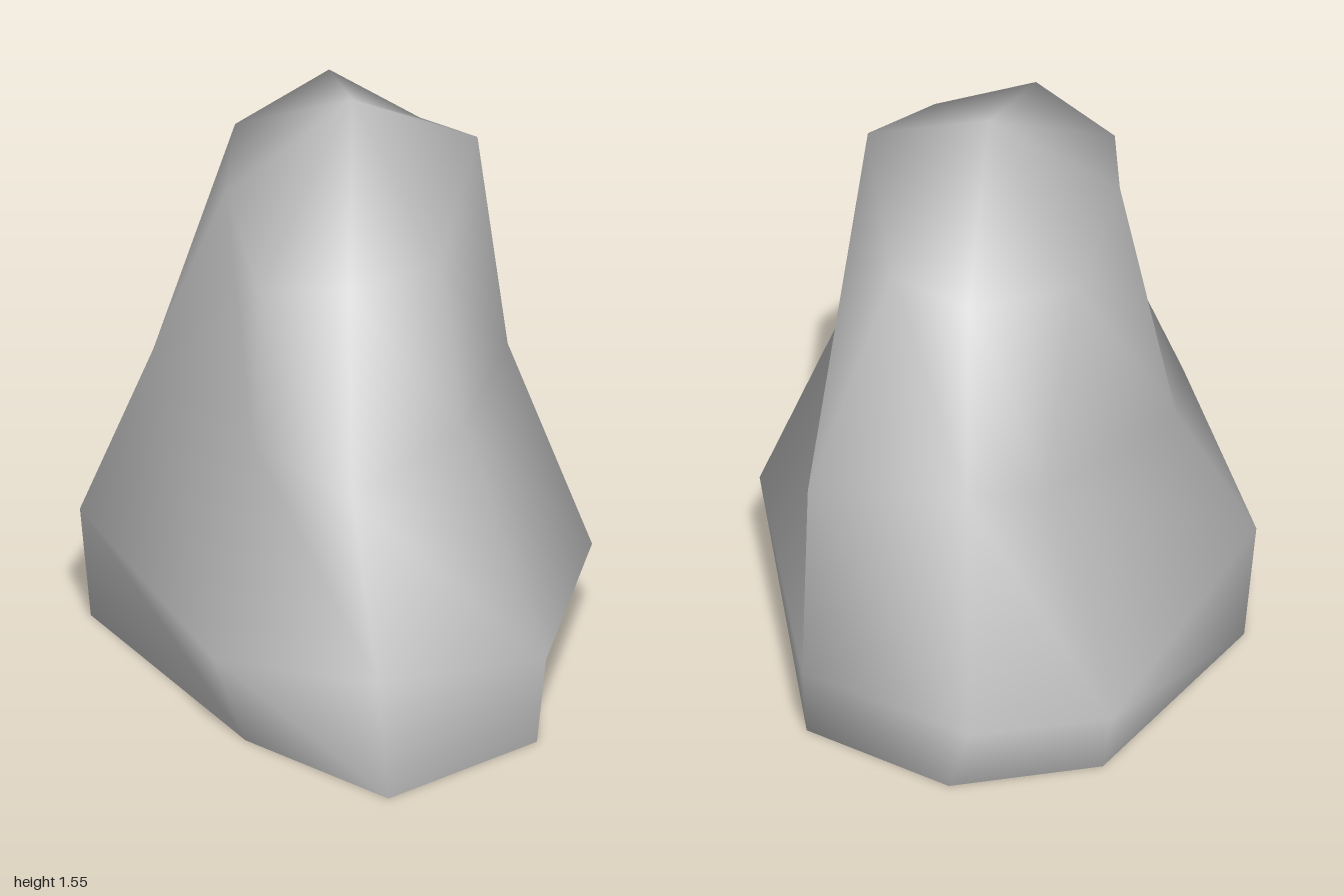
import * as THREE from 'three';

// Cross-sections from the ground up; each runs back, right side, front, left side.
const SECTIONS = [
  // open ground edge
  [[0.02, 0, -0.9], [0.43, 0, -0.7], [0.55, 0, -0.04], [0.49, 0, 0.69],
    [0.08, 0, 0.99], [-0.28, 0, 0.64], [-0.65, 0, -0.09], [-0.37, 0, -0.75]],
  // widest bulge
  [[-0.05, 0.24, -1], [0.43, 0.24, -0.78], [0.67, 0.26, 0.07], [0.51, 0.28, 0.76],
    [0.05, 0.35, 1], [-0.37, 0.28, 0.7], [-0.68, 0.33, -0.07], [-0.4, 0.19, -0.8]],
  // waist
  [[0, 0.8, -0.71], [0.43, 0.76, -0.68], [0.45, 0.83, 0], [0.31, 0.82, 0.45],
    [0, 0.75, 0.71], [-0.25, 0.79, 0.47], [-0.48, 0.75, -0.17], [-0.2, 0.75, -0.58]],
  // shoulder
  [[0.01, 1.34, -0.61], [0.24, 1.29, -0.42], [0.37, 1.45, 0], [0.25, 1.28, 0.4],
    [0, 1.28, 0.54], [-0.23, 1.22, 0.41], [-0.3, 1.32, 0.03], [-0.25, 1.29, -0.41]],
];
const PEAK = [0.04, 1.55, -0.04];

// Joins the sections into one skin, open below, with shared vertices for smooth normals.
function skin(sections, peak) {
  const n = sections[0].length;
  const points = [...sections.flat(), peak];
  const top = sections.length * n;
  const index = [];
  for (let j = 0; j < n; j++) {
    const k = (j + 1) % n;
    for (let i = 0; i < sections.length - 1; i++) {
      const a = i * n + j, b = i * n + k;
      index.push(a, a + n, b + n, a, b + n, b);
    }
    index.push(top - n + j, top, top - n + k); // crown
  }
  const geometry = new THREE.BufferGeometry();
  geometry.setAttribute('position', new THREE.Float32BufferAttribute(points.flat(), 3));
  geometry.setIndex(index);
  geometry.computeVertexNormals();
  return geometry;
}

export function createModel() {
  const group = new THREE.Group();
  group.name = 'rock';

  const stone = new THREE.MeshStandardMaterial({ color: 0xc3c3c3, side: THREE.DoubleSide });
  stone.name = 'stone grey';

  const boulder = new THREE.Mesh(skin(SECTIONS, PEAK), stone);
  boulder.name = 'boulder';
  group.add(boulder);
  return group;
}
